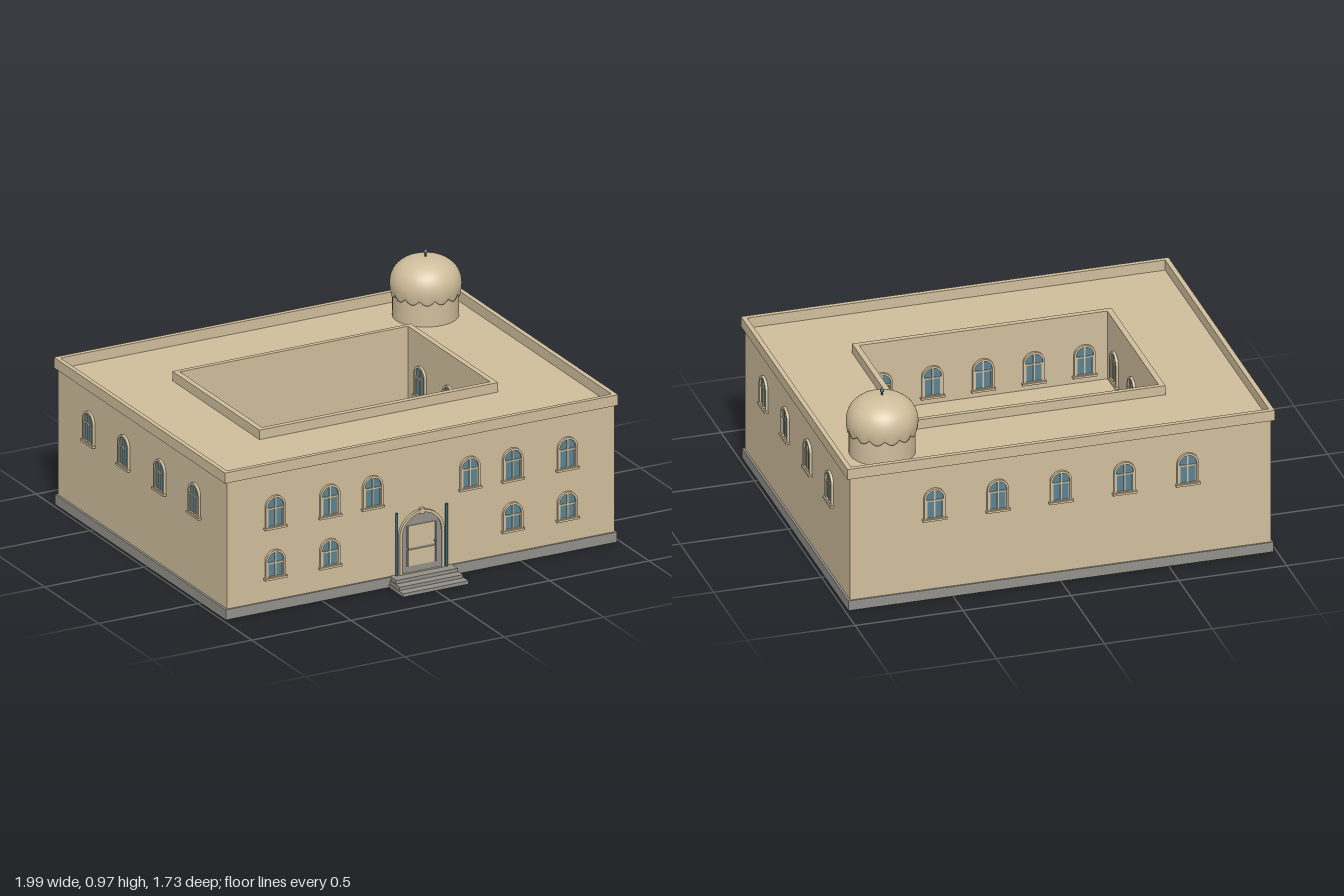
import * as THREE from 'three';

const mat = (name, color) => {
  const m = new THREE.MeshStandardMaterial({ color });
  m.name = name;
  return m;
};

export function createModel() {
  const model = new THREE.Group();
  model.name = 'courtyardBuilding';
  const tan = mat('sandstone', 0xd0be9c);
  const grey = mat('greyStone', 0x93918a);
  const blue = mat('glassBlue', 0x5a8393);
  const teal = mat('darkTeal', 0x3f6878);

  const add = (parent, name, geo, material, x = 0, y = 0, z = 0) => {
    const m = new THREE.Mesh(geo, material);
    m.name = name;
    m.position.set(x, y, z);
    parent.add(m);
    return m;
  };
  const box = (parent, name, material, w, h, d, x, y, z) =>
    add(parent, name, new THREE.BoxGeometry(w, h, d), material, x, y, z);

  // Rectangular ring seen from above, raised from y0 to y1; rects are [x0, x1, z0, z1]
  const trace = (path, [x0, x1, z0, z1]) => {
    path.moveTo(x0, -z1);
    path.lineTo(x1, -z1);
    path.lineTo(x1, -z0);
    path.lineTo(x0, -z0);
    path.closePath();
    return path;
  };
  const ring = (name, material, outer, inner, y0, y1) => {
    const s = trace(new THREE.Shape(), outer);
    s.holes.push(trace(new THREE.Path(), inner));
    const g = new THREE.ExtrudeGeometry(s, { depth: y1 - y0, bevelEnabled: false });
    g.rotateX(-Math.PI / 2);
    return add(model, name, g, material, 0, y0, 0);
  };

  // Main body
  const court = [-0.577, 0.572, -0.446, 0.314];
  ring('plinth', grey, [-0.985, 0.985, -0.852, 0.733], court, 0, 0.048);
  ring('walls', tan, [-0.975, 0.975, -0.845, 0.725], court, 0.048, 0.65);
  ring('cornice', tan, [-0.99, 0.99, -0.855, 0.733], [-0.968, 0.968, -0.833, 0.711], 0.65, 0.7);
  ring('courtyardParapet', tan, [-0.603, 0.598, -0.468, 0.34], court, 0.65, 0.695);
  box(model, 'courtyardFloor', tan, 1.149, 0.02, 0.76, -0.0025, 0.01, -0.066);
  box(model, 'courtyardTerrace', tan, 1.149, 0.34, 0.168, -0.0025, 0.19, 0.23);

  // Round-headed outline standing on y = y0
  const arch = (path, half, y0, top) => {
    path.moveTo(-half, y0);
    path.lineTo(half, y0);
    path.lineTo(half, top - half);
    path.absarc(0, top - half, half, 0, Math.PI, false);
    path.closePath();
    return path;
  };
  const archFrame = (half, top, holeHalf, y0, depth) => {
    const s = arch(new THREE.Shape(), half, 0, top);
    s.holes.push(arch(new THREE.Path(), holeHalf, y0, top - half + holeHalf));
    return new THREE.ExtrudeGeometry(s, { depth, bevelEnabled: false, curveSegments: 12 });
  };
  const archPlate = (half, top) =>
    new THREE.ShapeGeometry(arch(new THREE.Shape(), half, 0, top), 12);

  // Window facing +z, then turned onto its wall
  const windowParts = (h) => ({
    h, frame: archFrame(0.05, h, 0.04, 0.012, 0.012), glass: archPlate(0.045, h - 0.005),
  });
  const tall = windowParts(0.155), low = windowParts(0.135);
  const addWindow = (parts, x, y, z, turn) => {
    const g = new THREE.Group();
    g.name = 'window';
    const h = parts.h;
    add(g, 'windowFrame', parts.frame, tan);
    add(g, 'windowGlass', parts.glass, blue, 0, 0, 0.004);
    box(g, 'mullion', tan, 0.007, h - 0.02, 0.004, 0, h / 2, 0.006);
    box(g, 'transom', tan, 0.08, 0.007, 0.004, 0, h - 0.06, 0.006);
    for (const s of [-1, 1]) box(g, 'sash', tan, 0.005, h - 0.055, 0.004, s * 0.0375, (h - 0.055) / 2, 0.006);
    box(g, 'windowSill', tan, 0.112, 0.01, 0.018, 0, 0.003, 0.009);
    g.position.set(x, y, z);
    g.rotation.y = turn;
    model.add(g);
  };
  const upper = 0.391, lower = 0.152, right = Math.PI / 2;
  for (const s of [-1, 1]) {
    for (const x of [0.245, 0.46, 0.735]) addWindow(tall, s * x, upper, 0.725, 0);
    for (const x of [0.46, 0.735]) addWindow(low, s * x, lower, 0.725, 0);
    for (const z of [0.43, 0.108, -0.226, -0.55]) addWindow(tall, s * 0.975, upper, z, s * right);
  }
  for (const x of [-0.588, -0.295, 0, 0.292, 0.585]) addWindow(tall, x, upper, -0.845, Math.PI);
  // Courtyard windows
  for (const x of [-0.47, -0.235, 0, 0.235, 0.47]) addWindow(tall, x, upper, 0.314, Math.PI);
  for (const z of [-0.325, -0.063, 0.2]) {
    addWindow(tall, -0.577, upper, z, right);
    addWindow(tall, 0.572, upper, z, -right);
  }

  // Entrance door
  const door = new THREE.Group();
  door.name = 'entrance';
  door.position.set(0, 0.048, 0.725);
  model.add(door);
  add(door, 'doorSurround', archFrame(0.113, 0.293, 0.1, 0.004, 0.014), tan);
  add(door, 'doorLeaf', archPlate(0.105, 0.285), grey, 0, 0, 0.006);
  box(door, 'keystone', tan, 0.02, 0.026, 0.016, 0, 0.288, 0.008);
  box(door, 'upperPanel', tan, 0.148, 0.105, 0.005, 0, 0.174, 0.008);
  box(door, 'lowerPanel', tan, 0.148, 0.076, 0.005, 0, 0.073, 0.008);
  for (const s of [-1, 1]) box(door, 'doorStile', grey, 0.005, 0.19, 0.004, s * 0.069, 0.13, 0.011);
  add(door, 'doorKnob', new THREE.SphereGeometry(0.006, 10, 8), teal, 0.065, 0.137, 0.014);
  for (const s of [-1, 1]) {
    add(door, 'doorPost', new THREE.CylinderGeometry(0.006, 0.006, 0.298, 12), teal, s * 0.125, 0.149, 0.009);
  }

  // Entrance steps
  [[0.165, 0.016, 0.865], [0.16, 0.032, 0.824], [0.155, 0.049, 0.783]].forEach(([half, h, front]) =>
    box(model, 'step', grey, half * 2, h, front - 0.725, 0, h / 2, (front + 0.725) / 2));

  // Domed turret with a scalloped lower edge
  const turret = new THREE.Group();
  turret.name = 'turret';
  turret.position.set(0.76, 0, -0.63);
  model.add(turret);
  add(turret, 'drum', new THREE.CylinderGeometry(0.148, 0.148, 0.15, 48), tan, 0, 0.725, 0);
  const profile = new THREE.SplineCurve([
    [0.154, 0.77], [0.159, 0.79], [0.16, 0.815], [0.153, 0.847], [0.135, 0.879],
    [0.1, 0.908], [0.055, 0.924], [0, 0.929],
  ].map(([x, y]) => new THREE.Vector2(x, y))).getPoints(20);
  profile[profile.length - 1].x = 0;
  const domeGeo = new THREE.LatheGeometry([new THREE.Vector2(0.146, 0.77), ...profile], 84);
  const p = domeGeo.attributes.position;
  for (let i = 0; i < p.count; i++) {
    const y = p.getY(i);
    const weight = Math.max(0, (0.81 - y) / 0.04);
    const wave = Math.abs(Math.sin(Math.atan2(p.getZ(i), p.getX(i)) * 7));
    p.setY(i, y - 0.02 * weight * wave);
  }
  domeGeo.computeVertexNormals();
  add(turret, 'dome', domeGeo, tan);
  add(turret, 'finialRod', new THREE.CylinderGeometry(0.004, 0.004, 0.03, 10), teal, 0, 0.935, 0);
  const tip = [[0, 0.938], [0.008, 0.945], [0.01, 0.951], [0.006, 0.959], [0, 0.968]];
  add(turret, 'finialTip', new THREE.LatheGeometry(tip.map(([x, y]) => new THREE.Vector2(x, y)), 12), teal);

  return model;
}
